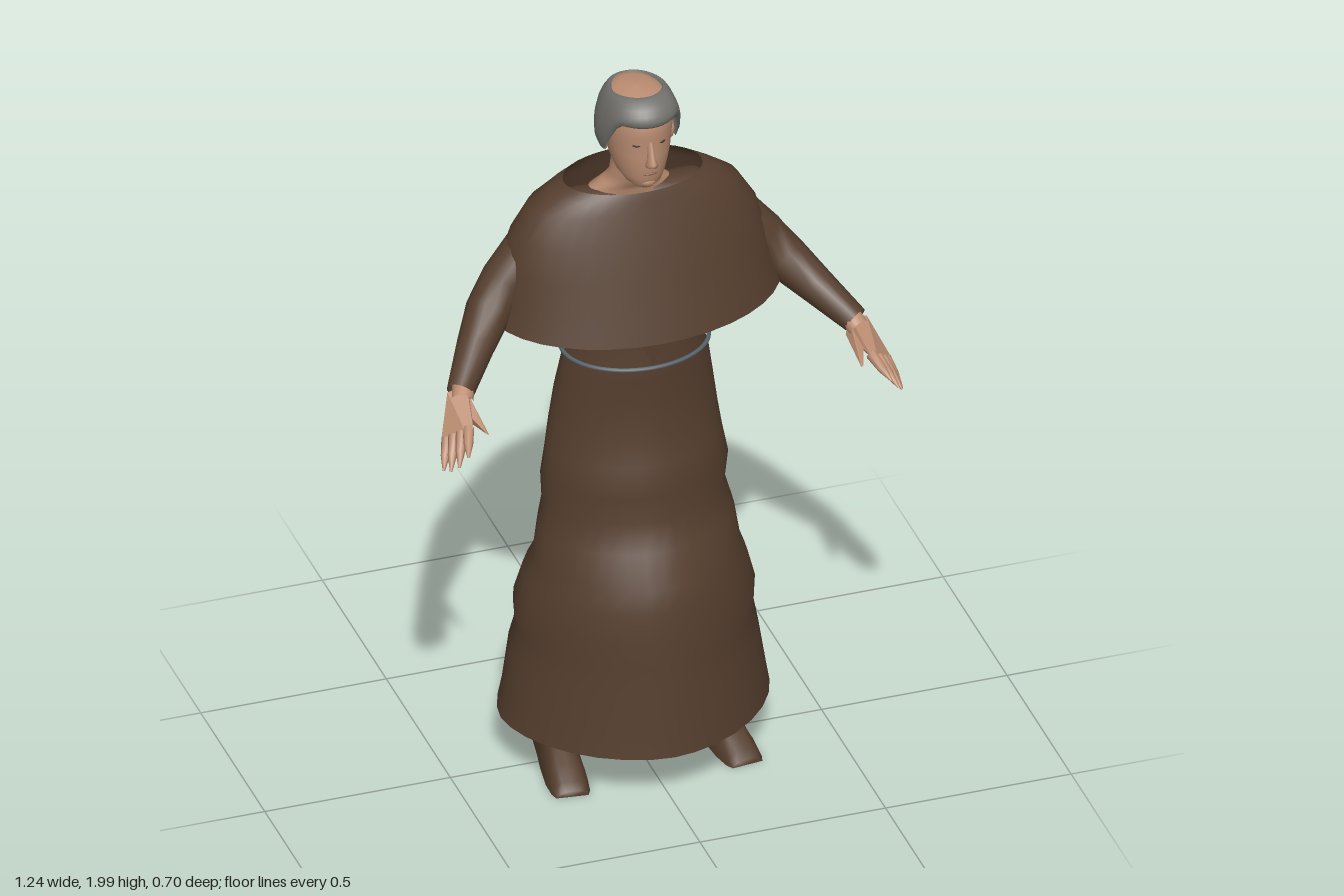
import * as THREE from 'three';
import { ConvexGeometry } from 'three/addons/geometries/ConvexGeometry.js';

const V = (x, y, z) => new THREE.Vector3(x, y, z);
const mat = (name, color, side = THREE.FrontSide) => {
  const m = new THREE.MeshStandardMaterial({ color, side });
  m.name = name;
  return m;
};

// Skin a list of closed rings, each an equal-length array of points
function skinRings(rings) {
  const n = rings[0].length, index = [];
  for (let i = 0; i < rings.length - 1; i++) {
    for (let j = 0; j < n; j++) {
      const k = (j + 1) % n, a = i * n + j, b = i * n + k;
      index.push(a, b, b + n, a, b + n, a + n);
    }
  }
  const g = new THREE.BufferGeometry().setFromPoints(rings.flat());
  g.setIndex(index);
  g.computeVertexNormals();
  return g;
}

// Upright loft from [y, half width, front z, back z, tilt]; tilt raises the back,
// power above 1 makes the section slightly diamond shaped
function loft(sections, n = 32, power = 1) {
  const bend = v => Math.sign(v) * Math.abs(v) ** power;
  return skinRings(sections.map(([y, rx, zf, zb, tilt = 0]) =>
    Array.from({ length: n }, (_, j) => {
      const a = j / n * Math.PI * 2, c = Math.cos(a);
      return V(rx * bend(Math.sin(a)), y - tilt * c, (zf + zb) / 2 + (zf - zb) / 2 * bend(c));
    })));
}

// Tapered tube through [x, y, z, radius], mirrored by s
function limb(points, s, n = 14) {
  const p = points.map(([x, y, z]) => V(x * s, y, z));
  return skinRings(p.map((c, i) => {
    const d = p[Math.min(i + 1, p.length - 1)].clone().sub(p[Math.max(i - 1, 0)]).normalize();
    const u = V(0, 1, 0).cross(d).normalize(), v = d.clone().cross(u);
    return Array.from({ length: n }, (_, j) => {
      const a = j / n * Math.PI * 2, r = points[i][3];
      return c.clone().addScaledVector(u, r * Math.cos(a)).addScaledVector(v, r * Math.sin(a));
    });
  }));
}

export function createModel() {
  const group = new THREE.Group();
  const robe = mat('brown cloth', 0x553e2e, THREE.DoubleSide);
  const skin = mat('skin', 0xbb8d72);
  const hairGrey = mat('grey hair', 0x72716d, THREE.DoubleSide);
  const rope = mat('grey rope', 0x5a656d);
  const dark = mat('dark eye', 0x4a352a);
  const lip = mat('lip', 0x8a5c4b);
  const add = (name, geo, m, parent = group) => {
    const mesh = new THREE.Mesh(geo, m);
    mesh.name = name;
    parent.add(mesh);
    return mesh;
  };

  // Long robe, open at hem and neck
  add('robe', loft([
    [0.145, 0.357, 0.305, -0.348], [0.2, 0.347, 0.298, -0.335], [0.33, 0.327, 0.285, -0.328],
    [0.40, 0.312, 0.279, -0.305], [0.47, 0.317, 0.273, -0.305], [0.55, 0.295, 0.262, -0.28],
    [0.61, 0.272, 0.246, -0.242], [0.70, 0.26, 0.205, -0.218], [0.77, 0.242, 0.168, -0.211],
    [0.85, 0.248, 0.178, -0.206], [0.93, 0.234, 0.155, -0.198], [1.0, 0.224, 0.138, -0.19],
    [1.1, 0.21, 0.128, -0.175], [1.18, 0.196, 0.135, -0.162], [1.22, 0.183, 0.132, -0.155],
    [1.28, 0.172, 0.126, -0.155], [1.4, 0.17, 0.118, -0.157], [1.56, 0.19, 0.09, -0.15],
  ], 32, 1.12), robe);

  // Shoulder cape, hem higher at the back
  add('cape', loft([
    [1.362, 0.39, 0.208, -0.253, 0.032], [1.42, 0.372, 0.187, -0.234, 0.02],
    [1.5, 0.353, 0.16, -0.21, 0.01], [1.58, 0.33, 0.133, -0.185], [1.66, 0.28, 0.105, -0.16],
    [1.695, 0.225, 0.094, -0.148], [1.715, 0.185, 0.086, -0.14],
  ], 36), robe);

  // Pointed cloth tip hanging under the cape
  const tip = new THREE.Shape([
    new THREE.Vector2(-0.09, 1.4), new THREE.Vector2(0, 1.225), new THREE.Vector2(0.09, 1.4)]);
  add('clothTip', new THREE.ShapeGeometry(tip), robe).position.z = 0.137;

  // Rope belt
  const ring = Array.from({ length: 24 }, (_, i) => {
    const a = i / 24 * Math.PI * 2;
    return V(0.193 * Math.sin(a), 1.22, -0.01 + 0.152 * Math.cos(a));
  });
  add('belt', new THREE.TubeGeometry(new THREE.CatmullRomCurve3(ring, true), 64, 0.006, 6, true), rope);

  // Arms, hands and feet
  for (const s of [1, -1]) {
    const side = s > 0 ? 'left' : 'right';
    add(side + 'Sleeve', limb([
      [0.05, 1.6, -0.045, 0.072], [0.16, 1.6, -0.045, 0.075], [0.25, 1.545, -0.04, 0.075],
      [0.345, 1.45, -0.025, 0.066], [0.4, 1.39, 0.005, 0.06], [0.46, 1.335, 0.075, 0.049],
      [0.532, 1.272, 0.17, 0.036],
    ], s), robe);

    const hand = new THREE.Group();
    hand.name = side + 'Hand';
    group.add(hand);
    add('wrist', limb([[0.515, 1.286, 0.15, 0.03], [0.535, 1.262, 0.195, 0.028]], s), skin, hand);
    add('palm', new ConvexGeometry([
      [0.515, 1.29, 0.17], [0.565, 1.275, 0.165], [0.503, 1.24, 0.18], [0.545, 1.235, 0.175],
      [0.535, 1.23, 0.28], [0.555, 1.22, 0.285], [0.59, 1.18, 0.235], [0.605, 1.187, 0.235],
      [0.575, 1.17, 0.25],
    ].map(([x, y, z]) => V(x * s, y, z))), skin, hand);
    // Thumb with the web of skin beside it
    add('thumb', new ConvexGeometry([
      [0.503, 1.24, 0.18], [0.515, 1.27, 0.18], [0.501, 1.218, 0.308], [0.507, 1.222, 0.308],
      [0.53, 1.24, 0.24], [0.525, 1.215, 0.235],
    ].map(([x, y, z]) => V(x * s, y, z))), skin, hand);
    // Each finger: knuckle then tip
    [
      [[0.543, 1.222, 0.265], [0.57, 1.185, 0.346]],
      [[0.56, 1.211, 0.262], [0.592, 1.155, 0.338]],
      [[0.576, 1.199, 0.25], [0.608, 1.135, 0.318]],
      [[0.59, 1.187, 0.237], [0.617, 1.122, 0.288]],
    ].forEach(([a, b]) => {
      const mid = a.map((v, i) => v * 0.45 + b[i] * 0.55);
      add('finger', limb([[...a, 0.015], [...mid, 0.012], [...b, 0.003]], s, 8), skin, hand);
    });

    // Blunt wedge-toed shoe
    const shoe = add(side + 'Shoe', skinRings([
      [-0.11, 0, 0], [-0.11, 0.038, 0.11], [-0.1, 0.042, 0.128], [-0.03, 0.046, 0.128],
      [0.04, 0.052, 0.1], [0.12, 0.055, 0.06], [0.17, 0.05, 0.033], [0.19, 0.042, 0.016], [0.19, 0, 0],
    ].map(([z, w, h]) => Array.from({ length: 16 }, (_, j) => {
      const a = j / 16 * Math.PI * 2, up = Math.max(0, Math.sin(a));
      const c = Math.cos(a);
      return V(w * Math.sign(c) * Math.abs(c) ** 0.6 * (1 - 0.2 * up), h * up ** 0.8, z);
    }))), robe);
    shoe.position.set(s * 0.213, 0.006, 0);
    shoe.rotation.y = s * 0.12;
    const ankle = add(side + 'Ankle', new THREE.CylinderGeometry(0.014, 0.03, 0.06, 12), skin);
    ankle.position.set(s * 0.205, 0.132, -0.065);
  }

  // Neck and head
  add('neck', loft([
    [1.62, 0.13, -0.01, -0.11], [1.67, 0.108, -0.005, -0.105], [1.69, 0.075, 0.01, -0.1],
    [1.715, 0.06, 0.025, -0.085], [1.76, 0.057, 0.04, -0.08], [1.83, 0.06, 0.04, -0.085],
  ]), skin);
  add('head', loft([
    [1.73, 0, 0.07, 0.07], [1.733, 0.026, 0.092, 0.035], [1.748, 0.047, 0.104, 0.0],
    [1.77, 0.063, 0.109, -0.05], [1.8, 0.073, 0.115, -0.08], [1.835, 0.081, 0.117, -0.09],
    [1.87, 0.086, 0.115, -0.098], [1.895, 0.088, 0.12, -0.1], [1.935, 0.088, 0.118, -0.1],
    [1.96, 0.08, 0.1, -0.096], [1.976, 0.068, 0.085, -0.088], [1.986, 0.042, 0.055, -0.055], [1.99, 0, 0, 0],
  ]), skin);
  // Nose as a soft tapering ridge
  add('nose', loft([
    [1.806, 0, 0.118, 0.112], [1.812, 0.014, 0.134, 0.1], [1.82, 0.015, 0.147, 0.1],
    [1.828, 0.012, 0.146, 0.1], [1.85, 0.009, 0.132, 0.1], [1.878, 0.008, 0.12, 0.1], [1.89, 0, 0.116, 0.11],
  ], 12), skin);

  const blob = (name, m, x, y, z, sx, sy, sz) => {
    const b = add(name, new THREE.SphereGeometry(1, 14, 10), m);
    b.position.set(x, y, z);
    b.scale.set(sx, sy, sz);
    return b;
  };
  for (const s of [1, -1]) {
    blob('eye', dark, s * 0.034, 1.872, 0.105, 0.011, 0.004, 0.004).rotation.y = s * 0.35;
    blob('ear', skin, s * 0.089, 1.85, 0.01, 0.009, 0.03, 0.02);
  }
  blob('mouth', lip, 0, 1.785, 0.112, 0.02, 0.0035, 0.004);
  blob('chin', skin, 0, 1.753, 0.092, 0.022, 0.015, 0.016);

  // Ring of hair: short over the brow, long at sides and nape, open crown
  const hairRows = [[0, 0.93], [0.12, 1], [0.3, 1.02], [0.5, 0.99], [0.7, 0.92], [0.86, 0.82], [0.96, 0.72], [1, 0.64], [0.95, 0.59]];
  add('hair', skinRings(hairRows.map(([t, k]) => Array.from({ length: 40 }, (_, j) => {
    const a = j / 40 * Math.PI * 2, c = Math.cos(a);
    const low = 1.828 + 0.107 * THREE.MathUtils.smoothstep(c, 0.1, 0.75);
    const front = Math.max(0, c), back = Math.max(0, -c);
    return V(0.106 * k * Math.sin(a), low + (1.991 + 0.009 * c - low) * t,
      0.008 + 0.121 * k * c + 0.013 * front * (1 - t) - 0.012 * back * t);
  }))), hairGrey);

  return group;
}
